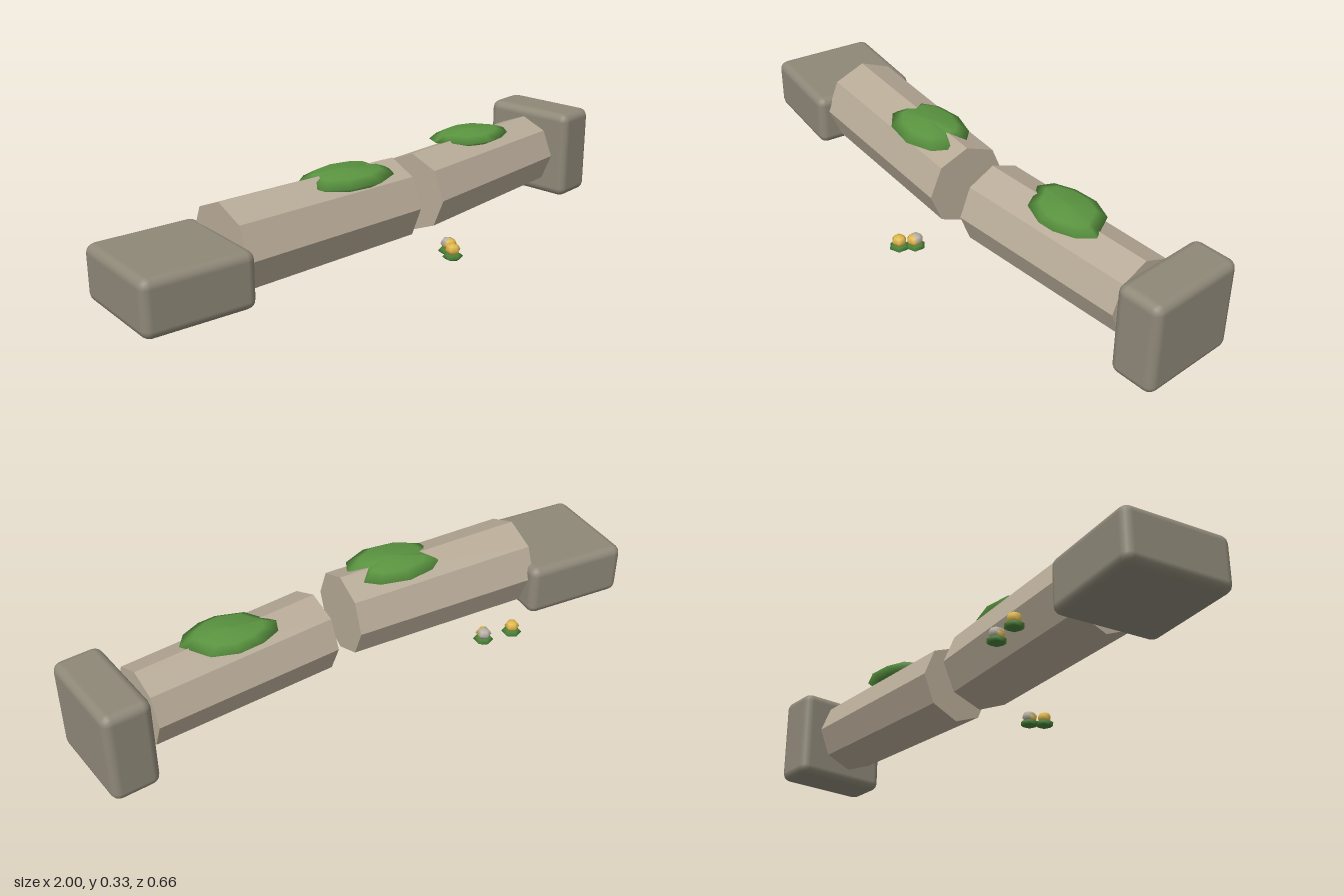
import * as THREE from 'three';
import { RoundedBoxGeometry } from 'three/addons/geometries/RoundedBoxGeometry.js';

const mat = (name, color, flatShading = false) => {
  const m = new THREE.MeshStandardMaterial({ color, flatShading });
  m.name = name;
  return m;
};

export function createModel() {
  const model = new THREE.Group();
  model.name = 'fallenColumn';

  const paleStone = mat('pale stone', 0xb8ab98, true);
  const darkStone = mat('dark stone', 0x8e8878);
  const mossGreen = mat('moss green', 0x5a9440);
  const leafGreen = mat('leaf green', 0x4a8038);
  const yellow = mat('petal yellow', 0xe0b84a);
  const grey = mat('petal grey', 0xb8b0a4);

  const add = (name, geometry, material, x, y, z, turn = 0, parent = model) => {
    const mesh = new THREE.Mesh(geometry, material);
    mesh.name = name;
    mesh.position.set(x, y, z);
    mesh.rotation.y = turn;
    parent.add(mesh);
    return mesh;
  };

  // Stone blocks at both ends
  add('capital', new RoundedBoxGeometry(0.37, 0.185, 0.37, 2, 0.03), darkStone, -0.815, 0.137, 0.055);
  add('plinth', new RoundedBoxGeometry(0.16, 0.32, 0.345, 2, 0.03), darkStone, 0.893, 0.16, -0.152, 0.18);

  // Eight-sided shaft pieces lying along x, slightly tapered
  const shaft = (name, length, rLeft, rRight, x, y, z, turn) => {
    const g = new THREE.CylinderGeometry(rRight, rLeft, length, 8);
    g.rotateZ(-Math.PI / 2);
    add(name, g, paleStone, x, y, z, turn);
  };
  shaft('leftShaft', 0.683, 0.15, 0.142, -0.304, 0.178, 0.037, 0.051);
  shaft('rightShaft', 0.649, 0.138, 0.13, 0.466, 0.166, -0.068, 0.181);

  // Moss pads: a flattened sphere whose rim follows an uneven outline of [x, z] points
  const moss = (name, outline, half, x, y, z) => {
    const n = outline.length;
    const rows = 4;
    const g = new THREE.SphereGeometry(1, n, rows);
    const p = g.attributes.position;
    for (let i = 0; i < p.count; i++) {
      const [ox, oz] = outline[(n - (i % (n + 1))) % n];
      const phi = (Math.floor(i / (n + 1)) / rows) * Math.PI;
      const s = Math.sin(phi);
      p.setXYZ(i, ox * s, half * Math.cos(phi), oz * s);
    }
    g.computeVertexNormals();
    add(name, g, mossGreen, x, y, z);
  };
  moss('leftMoss', [
    [-0.15, -0.053], [-0.1, -0.096], [-0.005, -0.118], [0.096, -0.1], [0.14, -0.064],
    [0.134, -0.027], [0.112, -0.021], [0.166, 0.005], [0.139, 0.07], [0.053, 0.114],
    [-0.064, 0.108], [-0.139, 0.064], [-0.15, 0.016], [-0.134, 0],
  ], 0.03, -0.17, 0.303, 0.045);
  moss('rightMoss', [
    [-0.16, 0], [-0.144, -0.053], [-0.08, -0.09], [0.005, -0.107], [0.09, -0.086],
    [0.139, -0.021], [0.16, 0.005], [0.128, 0.059], [0.064, 0.096], [0.005, 0.107],
    [-0.086, 0.086], [-0.128, 0.032],
  ], 0.025, 0.465, 0.296, -0.075);

  // Small flowers: a flat leaf tuft below a six-sided bloom
  const leafGeo = new THREE.SphereGeometry(1, 6, 4).scale(0.034, 0.012, 0.034);
  const bloomGeo = new THREE.SphereGeometry(1, 6, 4).scale(0.025, 0.019, 0.025);
  for (const [x, z, pale] of [
    [-0.52, -0.18, false], [-0.41, -0.175, true], [0.09, 0.248, true], [0.068, 0.295, false],
  ]) {
    const flower = new THREE.Group();
    flower.name = 'flower';
    flower.position.set(x, 0, z);
    const turn = Math.PI / 6;
    add('leaves', leafGeo, leafGreen, 0, 0.051, 0, turn, flower);
    add('bloom', bloomGeo, yellow, 0, 0.075, pale ? 0.004 : 0, turn, flower);
    if (pale) add('paleBloom', bloomGeo, grey, 0, 0.0765, -0.002, turn, flower);
    model.add(flower);
  }

  return model;
}
